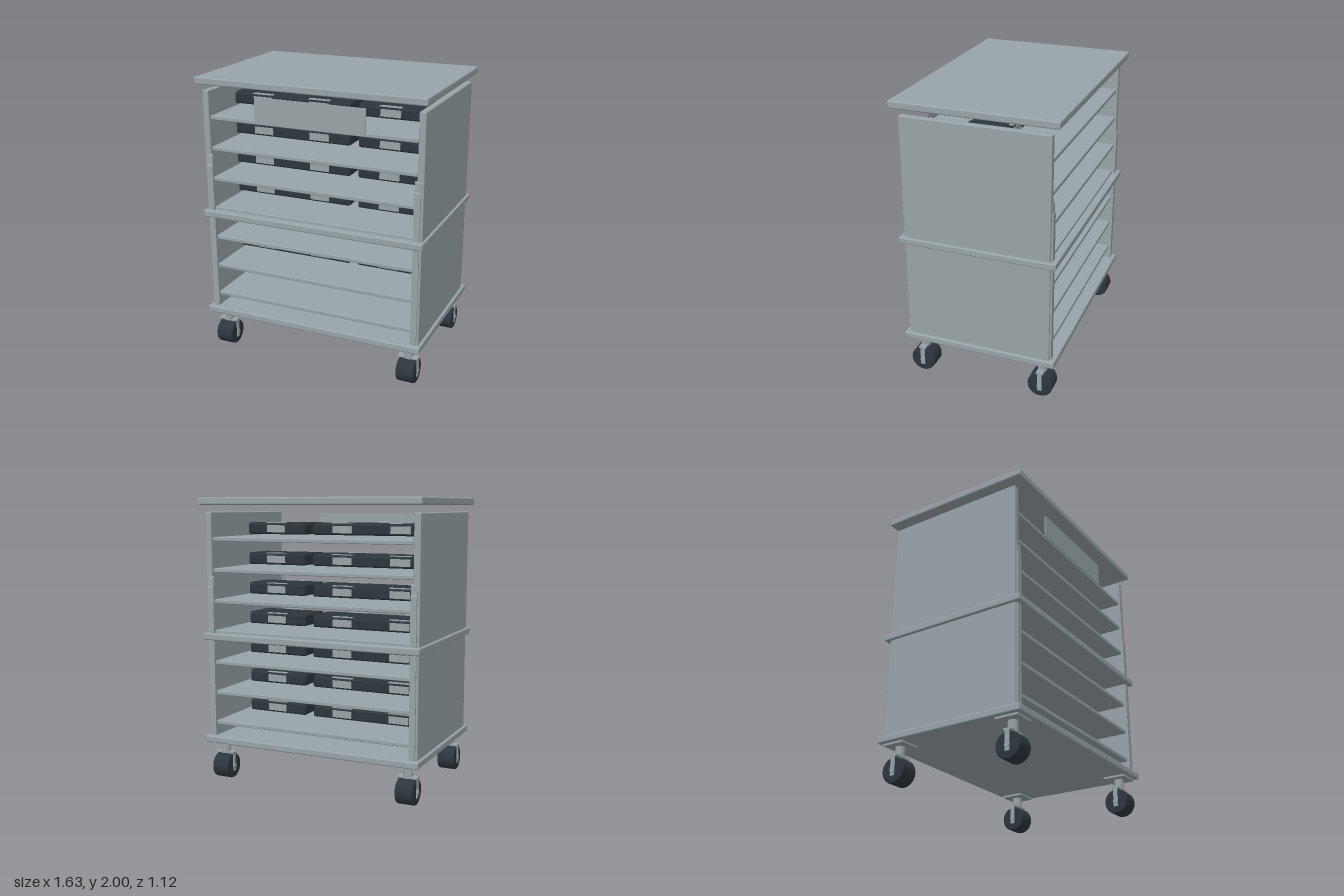
import * as THREE from 'three';
import { RoundedBoxGeometry } from 'three/addons/geometries/RoundedBoxGeometry.js';

const grey = new THREE.MeshStandardMaterial({ color: 0x98a4a8 });
grey.name = 'greyMetal';
const dark = new THREE.MeshStandardMaterial({ color: 0x2c363c });
dark.name = 'darkRubber';

function add(parent, name, geometry, material, x = 0, y = 0, z = 0) {
  const mesh = new THREE.Mesh(geometry, material);
  mesh.name = name;
  mesh.position.set(x, y, z);
  parent.add(mesh);
  return mesh;
}
const box = (w, h, d) => new THREE.BoxGeometry(w, h, d);
const rounded = (w, h, d, r = 0.008) => new RoundedBoxGeometry(w, h, d, 2, r);

// Swivel caster: wheel, fork, axle, stem and mounting plate
function makeCaster() {
  const g = new THREE.Group();
  g.name = 'caster';
  const r = 0.088, w = 0.064, b = 0.01;
  const profile = [[0, -w], [r - b, -w], [r - 0.003, -w + 0.003], [r, -w + b],
    [r, w - b], [r - 0.003, w - 0.003], [r - b, w], [0, w]]
    .map(([px, py]) => new THREE.Vector2(px, py));
  add(g, 'wheel', new THREE.LatheGeometry(profile, 40), dark, 0, r, 0).rotation.z = Math.PI / 2;
  add(g, 'axle', new THREE.CylinderGeometry(0.018, 0.018, 0.148, 16), grey, 0, r, 0).rotation.z = Math.PI / 2;
  for (const s of [-1, 1]) add(g, 'forkArm', box(0.006, 0.14, 0.032), grey, s * 0.067, 0.12, 0);
  add(g, 'forkBridge', box(0.14, 0.012, 0.05), grey, 0, 0.186, 0);
  add(g, 'stem', new THREE.CylinderGeometry(0.033, 0.033, 0.09, 24), grey, 0, 0.225, 0);
  add(g, 'mountPlate', box(0.16, 0.014, 0.16), grey, 0, 0.264, 0);
  return g;
}

// Flat storage case with a handle and a label plate on both long sides
function makeCase() {
  const g = new THREE.Group();
  g.name = 'storageCase';
  add(g, 'caseBody', rounded(0.46, 0.078, 0.3, 0.014), dark);
  add(g, 'caseLid', box(0.475, 0.004, 0.26), dark, 0, 0.041, 0);
  for (const s of [-1, 1]) {
    add(g, 'labelPlate', box(0.145, 0.05, 0.006), grey, 0, 0, s * 0.152);
    add(g, 'clipTop', box(0.155, 0.005, 0.03), grey, 0, 0.044, s * 0.14);
  }
  return g;
}

// Upright rail with a sloped upper end
function railGeometry() {
  const s = new THREE.Shape();
  s.moveTo(0, 0.3);
  s.lineTo(0.015, 0.3);
  s.lineTo(0.015, 1.38);
  s.lineTo(0.009, 1.39);
  s.lineTo(0.007, 1.45);
  s.lineTo(0, 1.46);
  const geo = new THREE.ExtrudeGeometry(s, { depth: 0.042, bevelEnabled: false });
  geo.translate(0, 0, -0.021);
  geo.rotateY(-Math.PI / 2);
  return geo;
}

export function createModel() {
  const model = new THREE.Group();
  model.name = 'shelfTrolley';

  // Horizontal boards
  add(model, 'topBoard', rounded(1.63, 0.05, 1.12, 0.01), grey, 0, 1.975, 0);
  add(model, 'middleBoard', rounded(1.612, 0.048, 1.092, 0.01), grey, 0, 1.035, 0);
  add(model, 'bottomBoard', rounded(1.612, 0.048, 1.092, 0.01), grey, 0, 0.296, 0);

  // Side walls and edge rails
  const rail = railGeometry();
  for (const sx of [-1, 1]) {
    add(model, 'upperSideWall', rounded(0.046, 0.86, 1.01), grey, sx * 0.767, 1.472, 0);
    add(model, 'lowerSideWall', rounded(0.054, 0.72, 1.01), grey, sx * 0.76, 0.66, 0);
    for (const sz of [-1, 1]) {
      const m = add(model, 'edgeRail', rail, grey, sx * 0.752, 0, sz * 0.501);
      if (sz < 0) m.rotation.y = Math.PI;
    }
  }

  // Seven shelves, each carrying three cases
  for (let i = 0; i < 7; i++) {
    const y = 0.412 + i * 0.2172;
    add(model, 'shelf', rounded(1.48, 0.028, 0.99, 0.006), grey, 0, y, 0);
    [-0.52, -0.09, 0.43].forEach((x) => {
      const c = makeCase();
      c.position.set(x, y + 0.066, 0);
      model.add(c);
    });
  }

  // Sign plate across the top shelf
  add(model, 'signPlate', box(0.79, 0.172, 0.006), grey, 0, 1.802, 0.499);

  // Four casters
  for (const sx of [-1, 1]) for (const sz of [-1, 1]) {
    const c = makeCaster();
    c.position.set(sx * 0.7, 0, sz * 0.435);
    model.add(c);
  }
  return model;
}
